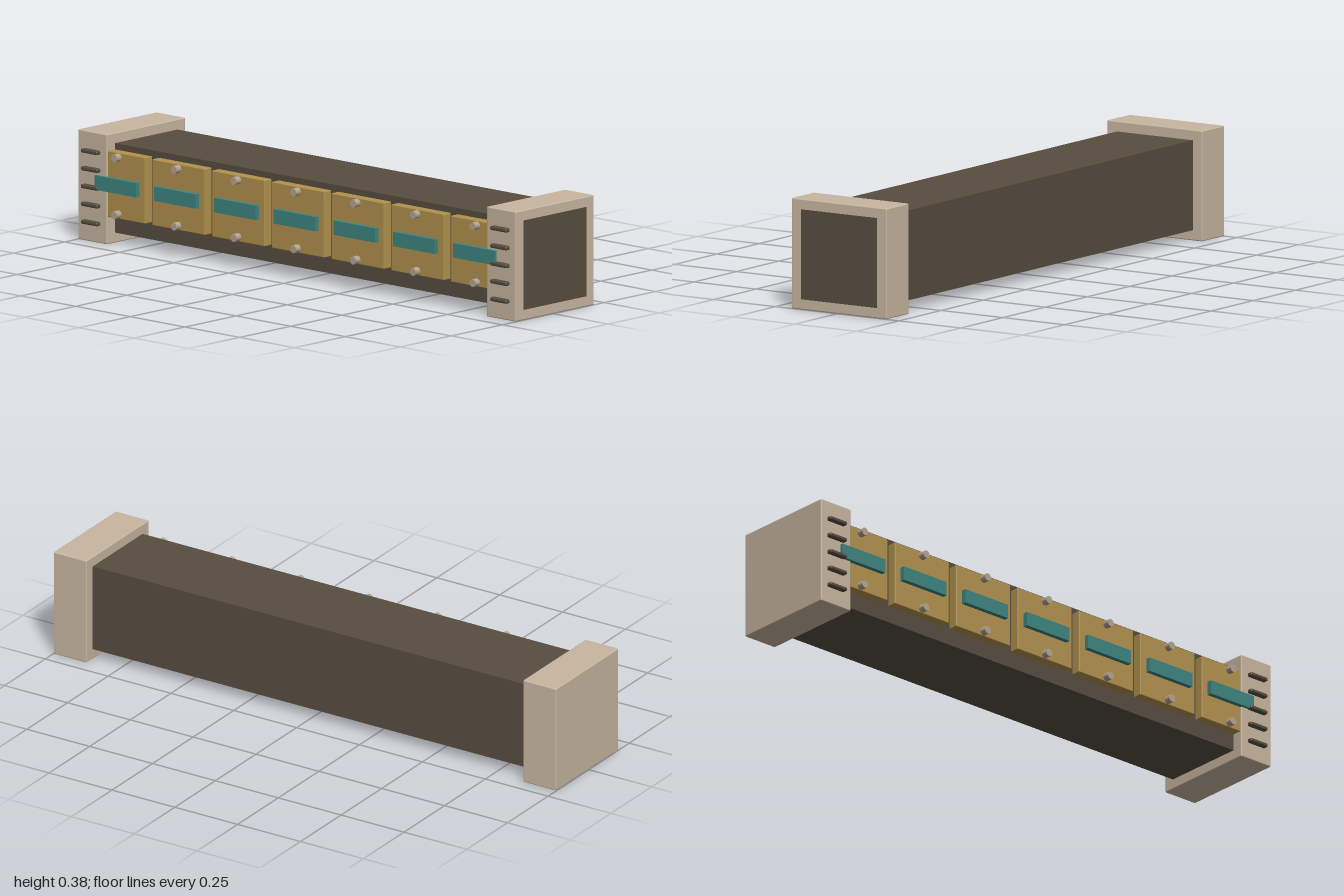
import * as THREE from 'three';
import { RoundedBoxGeometry } from 'three/addons/geometries/RoundedBoxGeometry.js';

const material = (name, color) => {
  const m = new THREE.MeshStandardMaterial({ color });
  m.name = name;
  return m;
};

export function createModel() {
  const model = new THREE.Group();
  model.name = 'paneledBeam';

  const tan = material('tan', 0xc8b6a0);
  const darkBrown = material('darkBrown', 0x574d40);
  const ochre = material('ochre', 0xb2924e);
  const teal = material('teal', 0x3e8582);
  const screwMetal = material('screwMetal', 0xb5a592);

  const add = (parent, name, geometry, mat, x, y, z) => {
    const mesh = new THREE.Mesh(geometry, mat);
    mesh.name = name;
    mesh.position.set(x, y, z);
    parent.add(mesh);
    return mesh;
  };

  // Long dark core, reaching just past the face of the +x end cap
  const coreStart = -0.95, coreEnd = 1.0006;
  add(model, 'core', new THREE.BoxGeometry(coreEnd - coreStart, 0.305, 0.307),
    darkBrown, (coreStart + coreEnd) / 2, 0.1875, -0.008);

  // End caps with five rounded vent slots each
  const capGeometry = new RoundedBoxGeometry(0.132, 0.375, 0.385, 2, 0.004);
  const slotGeometry = new RoundedBoxGeometry(0.075, 0.014, 0.034, 2, 0.005);
  for (const side of [-1, 1]) {
    const cap = new THREE.Group();
    cap.name = side < 0 ? 'rightEndCap' : 'leftEndCap';
    model.add(cap);
    add(cap, 'capBlock', capGeometry, tan, side * 0.934, 0.1875, -0.0075);
    for (let i = 0; i < 5; i++) {
      add(cap, 'ventSlot', slotGeometry, darkBrown, side * 0.935, 0.066 + i * 0.0607, 0.185);
    }
  }

  // Seven front panels, each with a teal bar and two screws
  const panelGeometry = new RoundedBoxGeometry(0.241, 0.226, 0.036, 2, 0.003);
  const barGeometry = new THREE.BoxGeometry(0.19, 0.049, 0.03);
  const screwGeometry = new THREE.CylinderGeometry(0.0135, 0.0135, 0.03, 16).rotateX(Math.PI / 2);
  for (let i = -3; i <= 3; i++) {
    const panel = new THREE.Group();
    panel.name = 'frontPanel';
    panel.position.set(i * 0.273, 0.206, 0);
    model.add(panel);
    add(panel, 'plate', panelGeometry, ochre, 0, 0, 0.161);
    add(panel, 'tealBar', barGeometry, teal, 0, 0.001, 0.181);
    for (const s of [-1, 1]) {
      add(panel, 'screw', screwGeometry, screwMetal, 0, s * 0.097, 0.187);
    }
  }

  return model;
}
